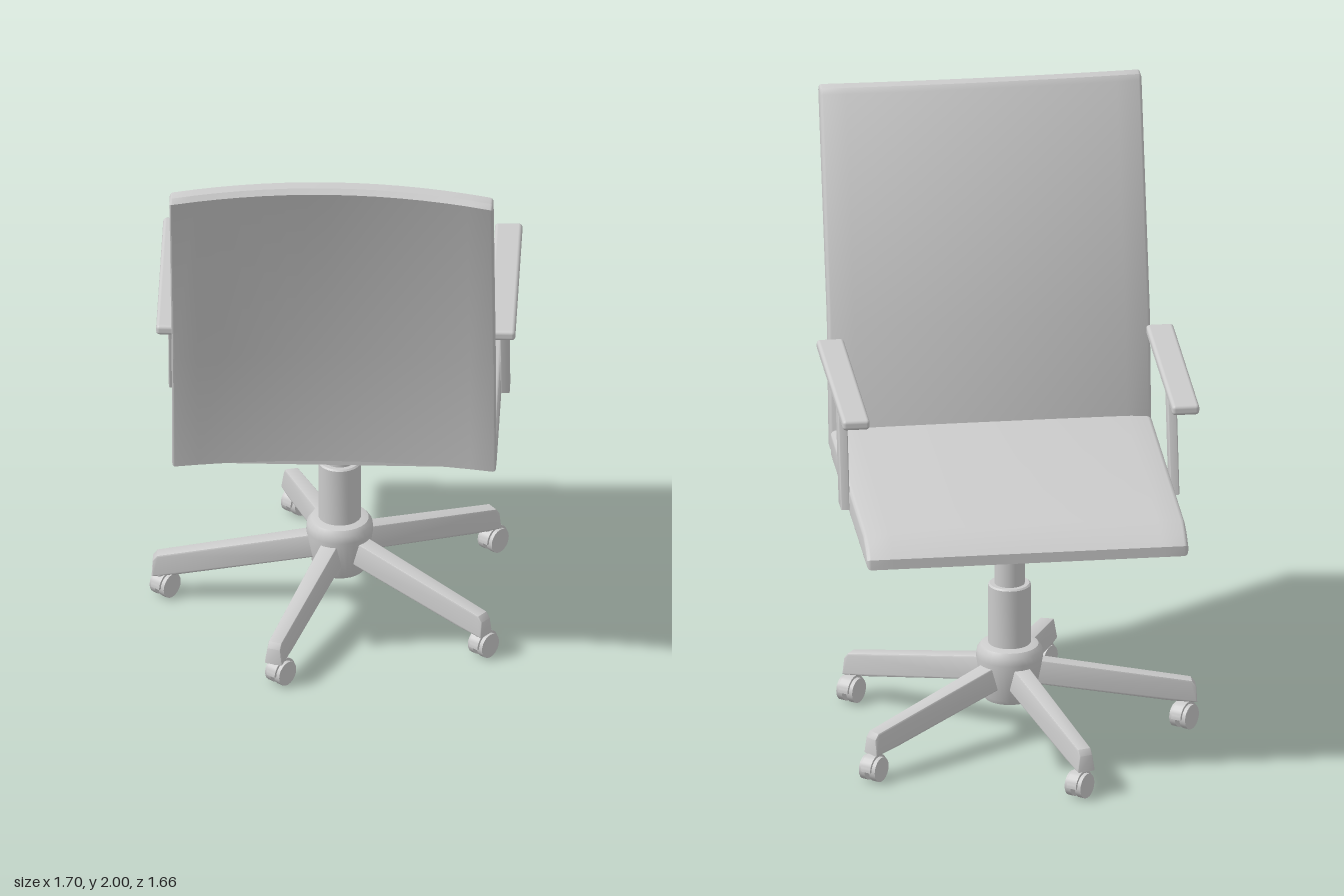
import * as THREE from 'three';
import { toCreasedNormals } from 'three/addons/utils/BufferGeometryUtils.js';
import { RoundedBoxGeometry } from 'three/addons/geometries/RoundedBoxGeometry.js';

const material = new THREE.MeshStandardMaterial({ color: 0xcccccc });

function add(parent, name, geometry, x = 0, y = 0, z = 0) {
  const mesh = new THREE.Mesh(geometry, material);
  mesh.name = name;
  mesh.position.set(x, y, z);
  parent.add(mesh);
  return mesh;
}

// Side profile swept across a width centred on z = 0, then reshaped by a rule
function sweep(points, width, bevel, steps, rule) {
  const shape = new THREE.Shape(points.map(([x, y]) => new THREE.Vector2(x, y)));
  const geometry = new THREE.ExtrudeGeometry(shape, {
    depth: width - 2 * bevel, steps, bevelEnabled: bevel > 0,
    bevelThickness: bevel, bevelSize: bevel, bevelOffset: -bevel, bevelSegments: 3,
  });
  geometry.translate(0, 0, bevel - width / 2);
  if (rule) {
    const pos = geometry.attributes.position;
    const v = new THREE.Vector3();
    for (let i = 0; i < pos.count; i++) {
      rule(v.fromBufferAttribute(pos, i));
      pos.setXYZ(i, v.x, v.y, v.z);
    }
  }
  return toCreasedNormals(geometry, 0.6);
}

const lathe = (points) => toCreasedNormals(
  new THREE.LatheGeometry(points.map(([r, y]) => new THREE.Vector2(r, y)), 32), 0.6);

// Seat, backrest and arms; local +x is the way the sitter faces
function buildUpper() {
  const upper = new THREE.Group();
  upper.name = 'upperChair';
  const half = 0.53;
  const crown = (z) => 1 - (z / half) ** 2;

  // Cushion with a sloped front edge and a slight crown
  add(upper, 'seat', sweep(
    [[-0.5, 0.8], [0.5, 0.8], [0.5, 0.835], [0.45, 0.868], [0.39, 0.884], [-0.5, 0.887]],
    2 * half, 0.014, 14, (v) => {
      if (v.y > 0.85) v.y += 0.025 * crown(v.z) * THREE.MathUtils.clamp((0.55 - v.x) / 0.5, 0, 1);
    }));

  // Thin shell, bent at mid height and bowed forward in the middle
  add(upper, 'backrest', sweep(
    [[-0.556, 0.815], [-0.505, 0.815], [-0.55, 1.25], [-0.772, 1.965], [-0.785, 1.982],
      [-0.825, 1.982], [-0.838, 1.965], [-0.607, 1.25]],
    2 * half, 0.01, 14, (v) => {
      v.x += 0.055 * crown(v.z);
      if (v.y > 1.9) v.y += 0.018 * crown(v.z);
    }));

  // Armrests on leaning posts
  for (const side of [-1, 1]) {
    const arm = new THREE.Group();
    arm.name = side > 0 ? 'rightArm' : 'leftArm';
    arm.position.z = side * 0.543;
    upper.add(arm);
    add(arm, 'armPad', new RoundedBoxGeometry(0.72, 0.035, 0.09, 3, 0.012), -0.042, 1.238, 0);
    add(arm, 'armPost', sweep(
      [[-0.047, 0.82], [0.02, 0.82], [-0.082, 1.23], [-0.149, 1.23]], 0.03, 0.004, 1));
  }
  return upper;
}

// Caster with twin wheels, axle along z
function buildCaster() {
  const caster = new THREE.Group();
  caster.name = 'caster';
  add(caster, 'casterStem', new THREE.CylinderGeometry(0.014, 0.014, 0.06, 12), -0.02, 0.085, 0);
  for (const side of [-1, 1]) {
    const wheel = new THREE.CylinderGeometry(0.042, 0.042, 0.022, 20).rotateX(Math.PI / 2);
    add(caster, 'wheel', wheel, 0, 0.042, side * 0.02);
  }
  // Half-round hood over the wheels
  const hood = new THREE.Shape();
  hood.absarc(0, 0, 0.05, 0, Math.PI);
  hood.absarc(0, 0, 0.041, Math.PI, 0, true);
  add(caster, 'casterHood', toCreasedNormals(new THREE.ExtrudeGeometry(hood, {
    depth: 0.036, bevelEnabled: false, curveSegments: 12 }), 0.6), 0, 0.042, -0.018);
  add(caster, 'axle', new THREE.CylinderGeometry(0.014, 0.014, 0.044, 12).rotateX(Math.PI / 2),
    0, 0.042, 0);
  return caster;
}

// Hub, gas column and five star legs
function buildBase() {
  const base = new THREE.Group();
  base.name = 'base';
  add(base, 'hub', lathe([[0, 0.13], [0.083, 0.13], [0.09, 0.145], [0.11, 0.275], [0.107, 0.3],
    [0.095, 0.316], [0.075, 0.322], [0, 0.322]]));
  add(base, 'columnSleeve', lathe([[0, 0.3], [0.07, 0.3], [0.07, 0.525], [0.065, 0.53], [0, 0.53]]));
  add(base, 'columnRod', new THREE.CylinderGeometry(0.05, 0.05, 0.3, 32), 0, 0.67, 0);

  const legShape = sweep(
    [[0.04, 0.19], [0.52, 0.102], [0.615, 0.09], [0.612, 0.145], [0.598, 0.164], [0.04, 0.27]],
    0.08, 0.006, 1, (v) => {
      const top = v.y > 0.225 - 0.16 * v.x;
      v.z *= THREE.MathUtils.lerp(1, 0.78, v.x / 0.6) * (top ? 0.75 : 1);
    });
  for (let i = 0; i < 5; i++) {
    const angle = THREE.MathUtils.degToRad(15 + 72 * i);
    add(base, 'leg', legShape).rotation.y = -angle;
    const caster = buildCaster();
    caster.position.set(0.585 * Math.cos(angle) + 0.02, 0, 0.585 * Math.sin(angle));
    base.add(caster);
  }
  return base;
}

export function createModel() {
  const chair = new THREE.Group();
  chair.name = 'officeChair';
  const upper = buildUpper();
  upper.rotation.y = 0.694;
  chair.add(upper, buildBase());
  chair.position.set(0.13, 0, -0.113);
  const model = new THREE.Group();
  model.add(chair);
  return model;
}
